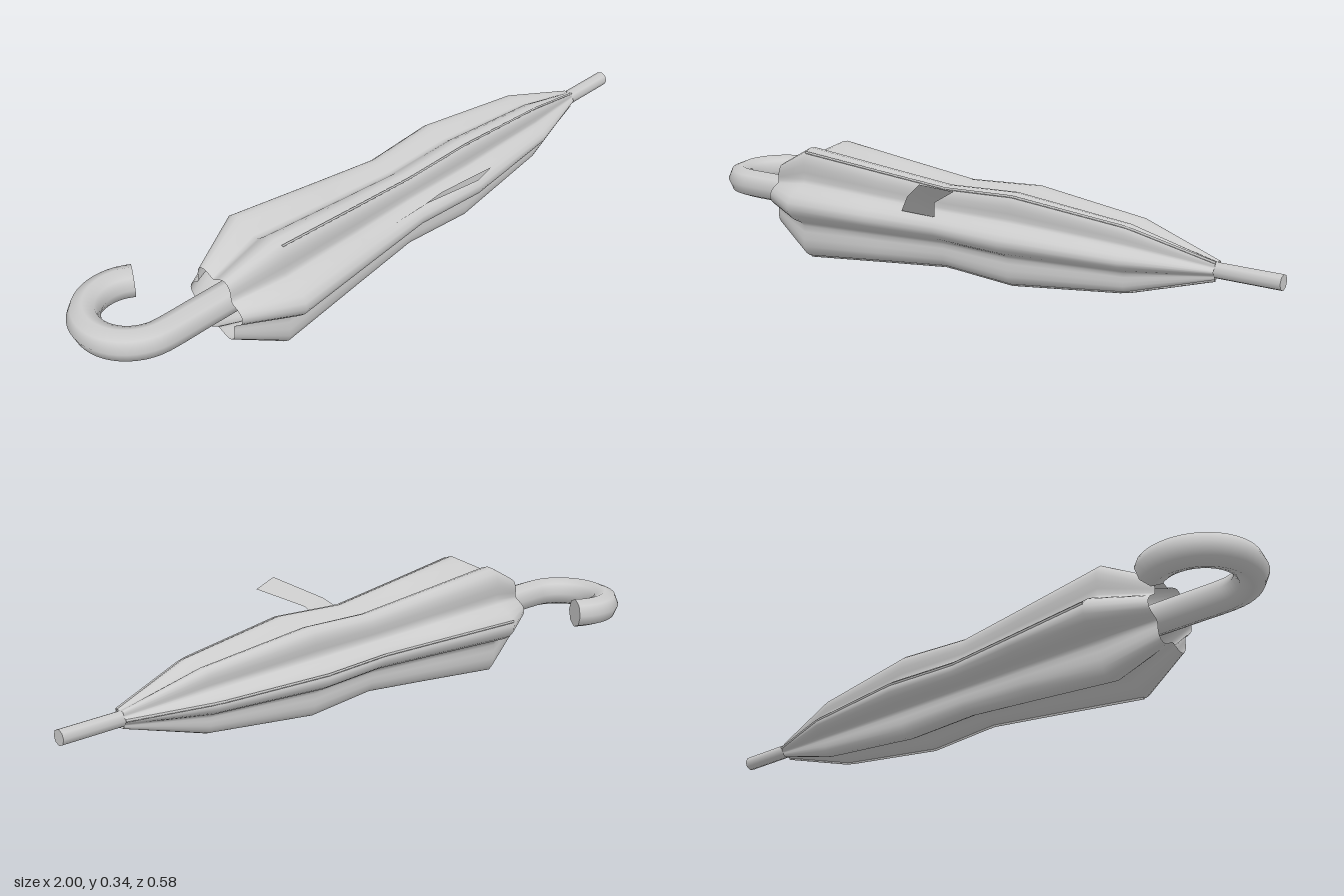
import * as THREE from 'three';

const CY = 0.175, CZ = 0.013; // shaft axis

// Point around the shaft: angle runs from +z towards +y
const around = (x, r, a) => new THREE.Vector3(x, CY + r * Math.sin(a), CZ + r * Math.cos(a));

// Canopy stations: [x, ridge radius, valley / ridge ratio]
const stations = [
  [-0.655, 0.106, 0.74], [-0.505, 0.19, 0.69], [-0.23, 0.159, 0.7], [0, 0.134, 0.71],
  [0.23, 0.148, 0.68], [0.58, 0.104, 0.7], [0.82, 0.026, 0.85],
];
const TWIST = 0.035;

// Six soft pleats
function pleatRadius([, r, ratio], a) {
  const w = 0.5 + 0.5 * Math.cos(6 * (a - TWIST));
  return r * (ratio + (1 - ratio) * Math.pow(w, 0.85));
}

function surface(points, index) {
  const g = new THREE.BufferGeometry().setFromPoints(points);
  g.setIndex(index);
  g.computeVertexNormals();
  return g;
}

function canopyGeometry() {
  const n = 60, pts = [], idx = [];
  stations.forEach((s, i) => {
    for (let j = 0; j < n; j++) {
      const a = (j / n) * Math.PI * 2;
      pts.push(around(s[0], pleatRadius(s, a), a));
      if (i === 0) continue;
      const k = (j + 1) % n, p = (i - 1) * n, q = i * n;
      idx.push(p + j, q + j, p + k, q + j, q + k, p + k);
    }
  });
  return surface(pts, idx);
}

// Piecewise straight path through points
function polyline(points) {
  const path = new THREE.CurvePath();
  for (let i = 1; i < points.length; i++) path.add(new THREE.LineCurve3(points[i - 1], points[i]));
  return path;
}

export function createModel() {
  const group = new THREE.Group();
  const grey = new THREE.MeshStandardMaterial({ color: 0xcccccc, side: THREE.DoubleSide });
  grey.name = 'light grey';
  const add = (name, geometry) => {
    const m = new THREE.Mesh(geometry, grey);
    m.name = name;
    group.add(m);
    return m;
  };

  add('canopy', canopyGeometry());

  // Fold seams along three of the pleats
  for (const deg of [58, 176, 297]) {
    const a = THREE.MathUtils.degToRad(deg);
    const pts = stations.slice(1).map(s => around(s[0], pleatRadius(s, a) + 0.001, a));
    add('foldSeam', new THREE.TubeGeometry(polyline(pts), 40, 0.004, 4));
  }

  // Shaft inside the canopy, ending in the tip
  const shaft = add('shaftAndTip', new THREE.CylinderGeometry(0.022, 0.022, 1.65, 8));
  shaft.rotation.z = -Math.PI / 2;
  shaft.position.set(0.175, CY, CZ);

  // Hooked handle
  const hx = -0.825, hz = -0.117, hr = 0.13, end = -Math.PI - 0.64;
  const path = [new THREE.Vector3(-0.6, CY, CZ), new THREE.Vector3(-0.71, CY, CZ)];
  for (let i = 0; i <= 16; i++) {
    const a = (end * i) / 16;
    path.push(new THREE.Vector3(hx + hr * Math.sin(a), CY, hz + hr * Math.cos(a)));
  }
  const curve = new THREE.CatmullRomCurve3(path);
  add('handle', new THREE.TubeGeometry(curve, 40, 0.045, 8));
  for (const [t, sign] of [[0, -1], [1, 1]]) {
    const cap = add('handleCap', new THREE.CircleGeometry(0.045, 8));
    cap.position.copy(curve.getPoint(t));
    cap.lookAt(cap.position.clone().addScaledVector(curve.getTangent(t), sign));
  }

  // Loose closing strap
  const strap = [
    [-0.115, 0.218, 0.14], [0, 0.215, 0.135], [-0.05, 0.28, 0.195],
    [0.035, 0.272, 0.18], [0.065, 0.348, 0.287], [0.157, 0.335, 0.256],
  ].map(p => new THREE.Vector3(...p));
  add('strap', surface(strap, [0, 1, 2, 1, 3, 2, 2, 3, 4, 3, 5, 4]));

  return group;
}
